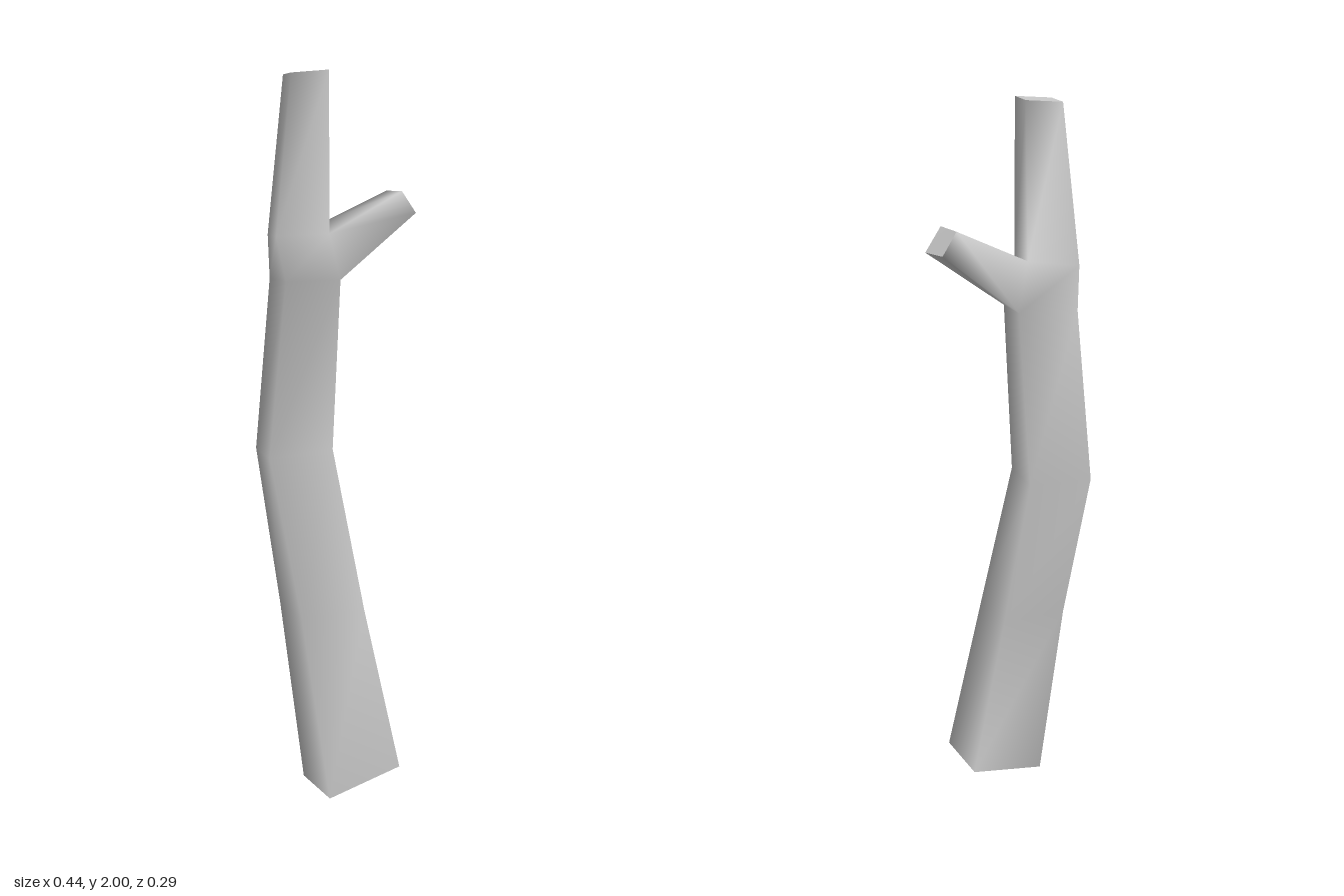
import * as THREE from 'three';

// Trunk cross-sections, bottom to top: front-right, front-left, back-left, back-right corners
const RINGS = [
  [[-0.10, 0.00, 0.128], [0.12, 0.055, 0.145], [0.14, 0.06, -0.04], [-0.09, 0.00, -0.045]],
  [[-0.168, 0.53, 0.093], [0.02, 0.53, 0.113], [0.04, 0.54, -0.05], [-0.15, 0.53, -0.07]],
  [[-0.22, 0.97, 0.01], [-0.03, 0.98, 0.022], [0.0, 0.98, -0.118], [-0.183, 0.97, -0.147]],
  [[-0.18, 1.45, 0.035], [-0.02, 1.45, 0.048], [0.01, 1.46, -0.075], [-0.155, 1.45, -0.108]],
  [[-0.20, 1.57, 0.02], [-0.055, 1.575, 0.05], [-0.02, 1.595, -0.07], [-0.165, 1.57, -0.098]],
  [[-0.165, 1.99, 0.043], [-0.06, 2.0, 0.057], [-0.04, 2.0, -0.025], [-0.145, 1.99, -0.04]],
];
const FORK = 3; // the branch grows from the left face above this ring

// Branch tip: lower front, lower back, upper back, upper front
const TIP = [[0.22, 1.625, 0.048], [0.215, 1.63, -0.033], [0.163, 1.685, -0.016], [0.165, 1.685, 0.062]];

function makeMesh(name, points, index) {
  const geometry = new THREE.BufferGeometry();
  geometry.setAttribute('position', new THREE.Float32BufferAttribute(points.flat(), 3));
  geometry.setIndex(index);
  geometry.computeVertexNormals();
  const mesh = new THREE.Mesh(geometry, new THREE.MeshStandardMaterial({ color: 0xcccccc }));
  mesh.name = name;
  return mesh;
}

export function createModel() {
  const log = new THREE.Group();
  log.name = 'log';

  // Bark: trunk and branch share one smooth skin
  const points = [...RINGS.flat(), ...TIP];
  const index = [];
  const quad = (a, b, c, d) => index.push(a, b, c, a, c, d);
  for (let r = 0; r < RINGS.length - 1; r++) {
    for (let i = 0; i < 4; i++) {
      if (r === FORK && i === 1) continue; // opening for the branch
      const j = (i + 1) % 4;
      quad(r * 4 + i, r * 4 + j, r * 4 + 4 + j, r * 4 + 4 + i);
    }
  }
  const root = [FORK * 4 + 1, FORK * 4 + 2, FORK * 4 + 6, FORK * 4 + 5];
  const tip = RINGS.length * 4;
  for (let i = 0; i < 4; i++) {
    const j = (i + 1) % 4;
    quad(root[i], root[j], tip + j, tip + i);
  }
  log.add(makeMesh('bark', points, index));

  // Flat cut ends
  const cap = [0, 1, 2, 0, 2, 3];
  log.add(makeMesh('trunkBase', [...RINGS[0]].reverse(), cap));
  log.add(makeMesh('trunkTop', RINGS[RINGS.length - 1], cap));
  log.add(makeMesh('branchEnd', TIP, cap));
  return log;
}
